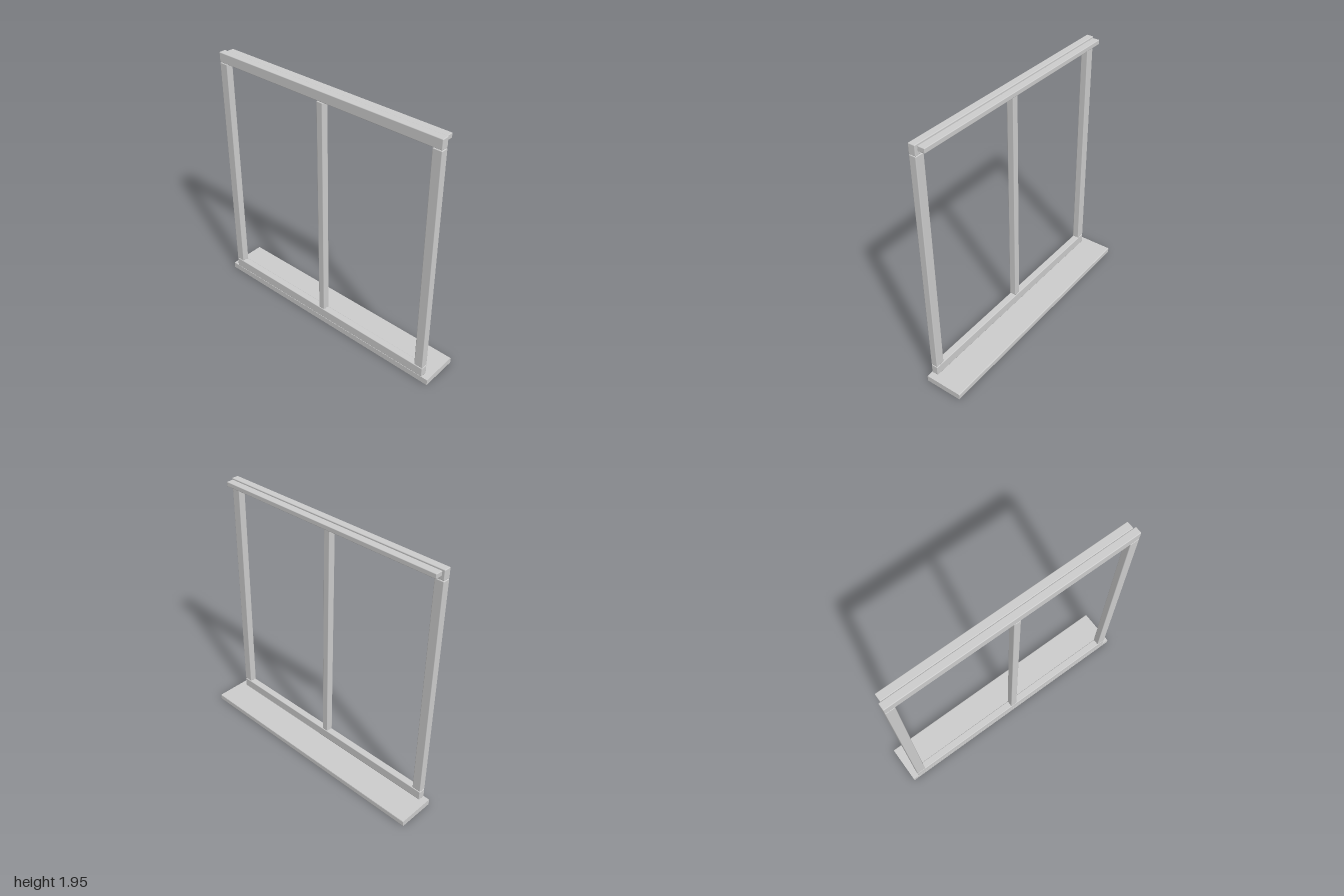
import * as THREE from 'three';
import { RoundedBoxGeometry } from 'three/addons/geometries/RoundedBoxGeometry.js';

export function createModel() {
  const group = new THREE.Group();
  group.name = 'windowFrame';
  const grey = new THREE.MeshStandardMaterial({ color: 0xcccccc });
  grey.name = 'paintedGrey';

  // Softly eased bar given by its limits on each axis
  function bar(name, [x0, x1], [y0, y1], [z0, z1], radius = 0.006) {
    const geometry = new RoundedBoxGeometry(x1 - x0, y1 - y0, z1 - z0, 2, radius);
    const mesh = new THREE.Mesh(geometry, grey);
    mesh.name = name;
    mesh.position.set((x0 + x1) / 2, (y0 + y1) / 2, (z0 + z1) / 2);
    group.add(mesh);
  }

  const depth = [-0.149, -0.094];

  // Rails across the bottom and top
  bar('bottomRail', depth, [0.047, 0.124], [-0.951, 0.951]);
  bar('topRail', depth, [1.874, 1.95], [-0.951, 0.951]);

  // Side stiles and the central mullion
  const height = [0.127, 1.872];
  bar('frontStile', depth, height, [0.88, 0.951]);
  bar('backStile', depth, height, [-0.951, -0.88]);
  bar('mullion', depth, height, [-0.026, 0.026]);

  // Slim header strip on the inner side
  bar('headerStrip', [-0.09, -0.033], [1.907, 1.943], [-0.936, 0.936], 0.005);

  // Sill board with an eased nosing along its projecting edge
  const profile = new THREE.Shape();
  const e = 0.008, x0 = -0.149, x1 = 0.145, top = 0.047;
  profile.moveTo(x0, 0);
  profile.lineTo(x1 - e, 0);
  profile.quadraticCurveTo(x1, 0, x1, e);
  profile.lineTo(x1, top - e);
  profile.quadraticCurveTo(x1, top, x1 - e, top);
  profile.lineTo(x0, top);
  profile.closePath();
  const sillGeometry = new THREE.ExtrudeGeometry(profile, { depth: 2, bevelEnabled: false, curveSegments: 3 });
  sillGeometry.translate(0, 0, -1);
  const sill = new THREE.Mesh(sillGeometry, grey);
  sill.name = 'sill';
  group.add(sill);

  return group;
}
